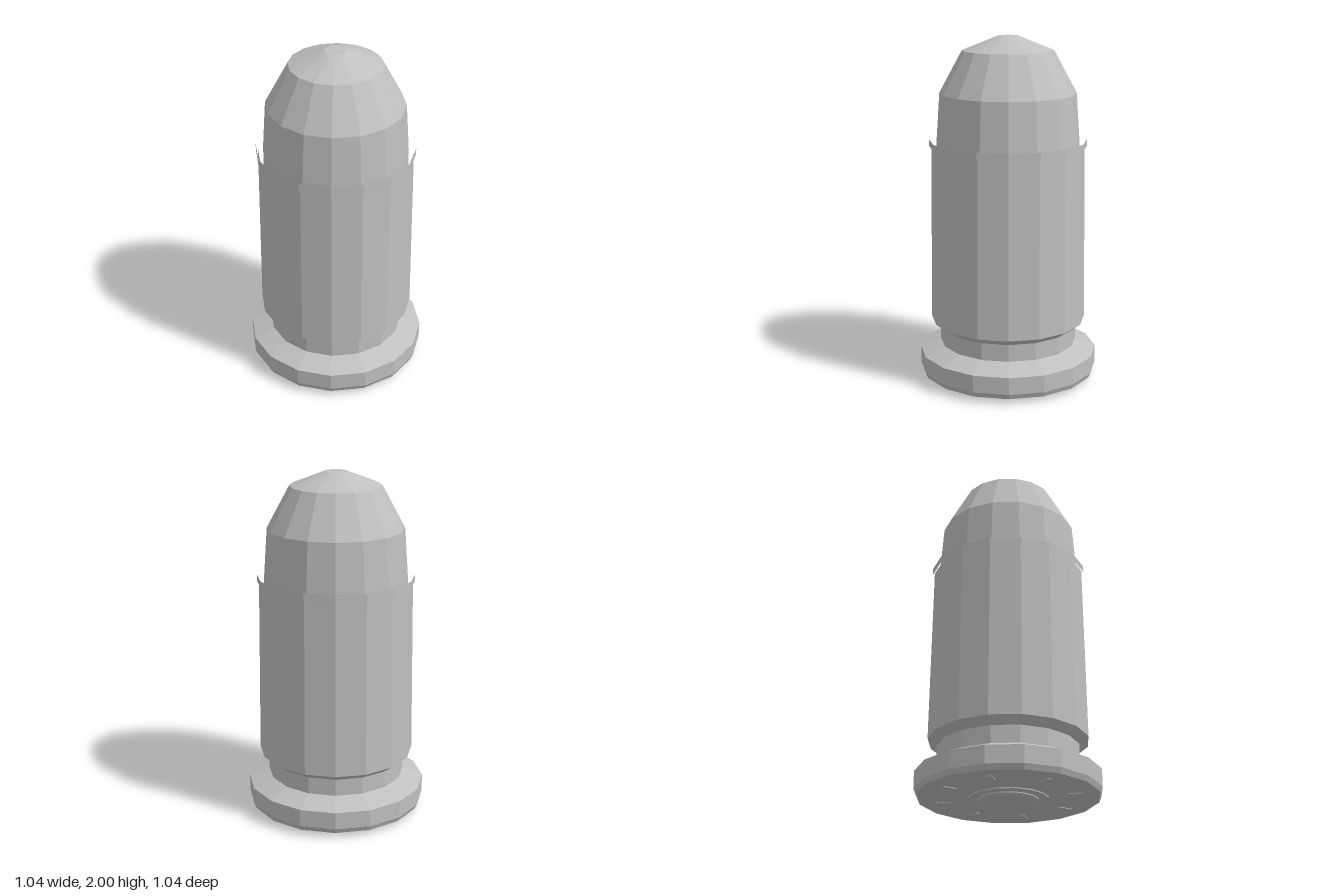
import * as THREE from 'three';

const SIDES = 16;

export function createModel() {
  const model = new THREE.Group();
  model.name = 'cartridge';
  const grey = new THREE.MeshStandardMaterial({ color: 0xc0c0c0 });
  grey.name = 'grey metal';
  grey.flatShading = true;

  const add = (name, geometry, parent = model) => {
    const mesh = new THREE.Mesh(geometry, grey);
    mesh.name = name;
    parent.add(mesh);
    return mesh;
  };

  // Faceted turned part; profile is [radius, height] from bottom to top
  const turned = (name, profile) =>
    add(name, new THREE.LatheGeometry(profile.map(([r, y]) => new THREE.Vector2(r, y)), SIDES));

  // Base flange with a small bottom bevel and sloping top
  turned('baseFlange', [[0, 0.03], [0.507, 0.03], [0.52, 0.06], [0.52, 0.16], [0.4, 0.21]]);

  // Groove above the flange, shoulder and the floor inside the case
  turned('groove', [[0.4, 0.21], [0.4, 0.31]]);
  turned('shoulder', [[0.4, 0.31], [0.452, 0.35], [0, 0.35]]);

  // Slightly tapered, open case and its rim band
  turned('caseWall', [[0.452, 0.35], [0.44, 1.38]]);
  turned('rimBand', [[0.452, 1.37], [0.452, 1.41]]);

  // Rounded nose seated in the case
  turned('nose', [[0.415, 1.1], [0.41, 1.4], [0.39, 1.68], [0.26, 1.92], [0.06, 2], [0, 2]]);

  // Primer plate and cap under the base
  turned('primerPlate', [[0, 0.018], [0.225, 0.018], [0.225, 0.024], [0, 0.024]]);
  turned('primerCap', [[0, 0], [0.15, 0], [0.17, 0.012], [0.17, 0.02]]);

  // Eight radial marks on the underside
  const marks = new THREE.Group();
  marks.name = 'baseMarks';
  model.add(marks);
  for (let i = 0; i < 8; i++) {
    const angle = (i * Math.PI) / 4;
    const mark = add('baseMark', new THREE.BoxGeometry(0.025, 0.006, 0.08), marks);
    mark.position.set(Math.sin(angle) * 0.37, 0.029, Math.cos(angle) * 0.37);
    mark.rotation.y = angle;
  }

  return model;
}
